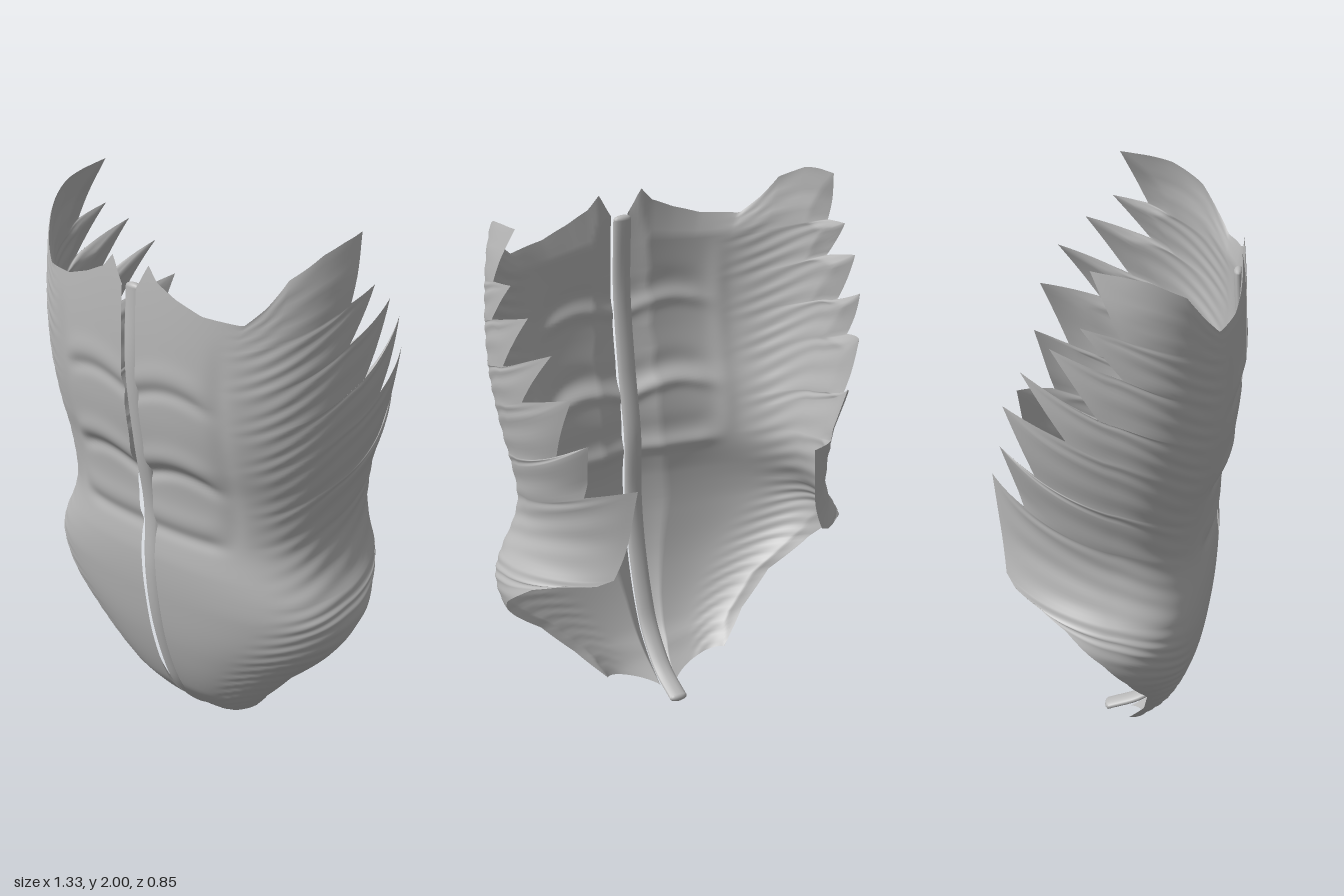
import * as THREE from 'three';

const N = 2.6;          // squareness of the front cross-section
const COLS = 64, STEPS = 8;

// front depth, half width and rear curve depth by height
const FRONT = [[0.03, 0.03], [0.07, 0.09], [0.11, 0.14], [0.2, 0.213], [0.39, 0.287], [0.6, 0.33], [0.76, 0.345], [0.88, 0.338],
  [0.97, 0.345], [1.1, 0.362], [1.2, 0.388], [1.35, 0.413], [1.55, 0.425], [1.8, 0.415], [2, 0.39]];
const WIDTH = [[0, 0.13], [0.12, 0.25], [0.24, 0.38], [0.36, 0.5], [0.5, 0.625], [0.62, 0.665], [0.7, 0.645],
  [0.8, 0.592], [0.9, 0.566], [1, 0.572], [1.2, 0.612], [1.4, 0.643], [1.6, 0.65], [1.85, 0.635], [2, 0.6]];
const BACK = [[0.8, 0.52], [1.15, 0.515], [1.33, 0.6], [1.5, 0.65], [2, 0.65]];
// height of the neckline along the top edge
const TOP = [[0, 1.79], [0.03, 1.88], [0.06, 1.83], [0.13, 1.79], [0.23, 1.755], [0.4, 1.745], [0.5, 1.81],
  [0.61, 1.9], [0.8, 1.965], [1, 2]];
// serrated rear edge, top to bottom: z, y, and the midline height its fibre starts from
const EDGE = [[-0.06, 2, 1.8], [0.04, 1.79, 1.65], [-0.09, 1.82, 1.57], [0.05, 1.65, 1.5], [-0.19, 1.74, 1.43],
  [-0.03, 1.505, 1.35], [-0.29, 1.64, 1.27], [-0.14, 1.42, 1.2], [-0.355, 1.5, 1.12], [-0.25, 1.25, 1.04],
  [-0.375, 1.33, 0.97], [-0.3, 1.1, 0.9], [-0.425, 1.15, 0.84], [-0.4, 0.97, 0.77], [-0.375, 0.8, 0.7],
  [-0.34, 0.77, 0.66], [-0.26, 0.75, 0.62], [-0.15, 0.7, 0.57], [-0.02, 0.595, 0.5], [0.06, 0.5, 0.42],
  [0.12, 0.36, 0.3], [0.1, 0.23, 0.17], [0.04, 0.12, 0.03]];

const { lerp, smoothstep, clamp } = THREE.MathUtils;

// smooth lookup in a small table
function look(table, v, smooth = true) {
  if (v <= table[0][0]) return table[0][1];
  for (let i = 1; i < table.length; i++) {
    const [a, p] = table[i - 1], [b, q] = table[i];
    if (v > b) continue;
    const k = (v - a) / (b - a);
    if (!smooth) return lerp(p, q, k);
    const p0 = table[Math.max(i - 2, 0)], q1 = table[Math.min(i + 1, table.length - 1)];
    const m0 = (q - p0[1]) / (b - p0[0]) * (b - a), m1 = (q1[1] - p) / (q1[0] - a) * (b - a);
    const k2 = k * k, k3 = k2 * k;
    return (2 * k3 - 3 * k2 + 1) * p + (k3 - 2 * k2 + k) * m0 + (3 * k2 - 2 * k3) * q + (k3 - k2) * m1;
  }
  return table[table.length - 1][1];
}

const gauss = (d, w) => Math.exp(-(d * d) / (w * w));

// abdominal creases and the groove beside the central muscles
function relief(x, y) {
  const inside = 1 - smoothstep(x, 0.26, 0.38);
  const arch = 0.05 * Math.sin(clamp(x / 0.36, 0, 1) * Math.PI);
  let d = 0;
  for (const [h, bow, depth] of [[1.4, 1, 0.009], [1.09, 1, 0.014], [0.89, 0, 0.009]])
    d += (0.6 * depth * gauss(y - h - bow * arch - 0.06, 0.045) - depth * gauss(y - h - bow * arch, 0.028)) * inside;
  const span = smoothstep(y, 0.85, 1) * (1 - smoothstep(y, 1.5, 1.7));
  return d - 0.006 * gauss(x - 0.37, 0.035) * span;
}

// point on the shell: u runs from midline to rear edge, thin moves it inward
function shellPoint(u, [ez, ey, y0], thin) {
  const back = look(BACK, ey, false);
  const end = ez > 0 ? Math.acos(Math.min(1, ez / look(FRONT, ey)) ** (N / 2)) : Math.PI / 2 + Math.asin(-ez / back);
  const neck = Math.max(0, 1 - (1.8 - y0) / 0.25) ** 2;
  const rise = u ** lerp(0.8, 2.6, smoothstep(y0, 0.03, 0.5));
  const y = lerp(y0, ey, rise) + (look(TOP, u, false) - 1.8 - 0.2 * rise) * neck;
  const ridge = 0.0018 * Math.sin(y0 * 115 + 3 * Math.sin(u * 6)) * smoothstep(u, 0.3, 0.55) * (1 - smoothstep(u, 0.85, 1));
  const inset = thin - ridge;
  const w = look(WIDTH, y) - inset, depth = look(FRONT, y) - inset;
  const start = Math.asin((0.033 / w) ** (N / 2));
  const t = lerp(start, end, u);
  const x = t < Math.PI / 2 ? w * Math.sin(t) ** (2 / N) : w * Math.sin(t);
  const z = t < Math.PI / 2
    ? depth * Math.max(0, Math.cos(t)) ** (2 / N) + relief(x, y) * smoothstep(Math.cos(t), 0, 0.5)
    : (back - inset) * Math.cos(t);
  return [x, y, z];
}

// half of the muscle wall, outer and inner skins joined at the edges
function wallGeometry(side) {
  const rows = [];
  for (let i = 0; i < EDGE.length - 1; i++)
    for (let s = 0; s < STEPS; s++) rows.push(EDGE[i].map((a, k) => lerp(a, EDGE[i + 1][k], s / STEPS)));
  rows.push(EDGE[EDGE.length - 1]);
  const pos = [], index = [];
  for (const layer of [0, 1]) {
    const base = pos.length / 3;
    rows.forEach((row, r) => {
      for (let c = 0; c <= COLS; c++) {
        const u = (c / COLS) ** 1.25;
        const rim = Math.min(1, 8 * (1 - u), 20 * u, r / 6, (rows.length - 1 - r) / 6);
        const [x, y, z] = shellPoint(u, row, layer * 0.022 * rim);
        pos.push(side * x, y, z);
        if (r === 0 || c === 0) continue;
        const d = base + r * (COLS + 1) + c, b = d - COLS - 1;
        const a = b - 1, e = d - 1;
        if ((side > 0) === (layer === 0)) index.push(a, e, b, b, e, d);
        else index.push(a, b, e, b, d, e);
      }
    });
  }
  const g = new THREE.BufferGeometry();
  g.setAttribute('position', new THREE.Float32BufferAttribute(pos, 3));
  g.setIndex(index);
  g.computeVertexNormals();
  return g;
}

export function createModel() {
  const model = new THREE.Group();
  model.name = 'abdominalWall';
  const grey = new THREE.MeshStandardMaterial({ color: 0xb8b8b8, side: THREE.DoubleSide });
  grey.name = 'plainGrey';
  const add = (geometry, name, parent = model) => {
    const mesh = new THREE.Mesh(geometry, grey);
    mesh.name = name;
    parent.add(mesh);
    return mesh;
  };

  add(wallGeometry(1), 'leftMuscleWall');
  add(wallGeometry(-1), 'rightMuscleWall');

  // central tendon: a flattened cord with a curled lower tail
  const tendon = new THREE.Group();
  tendon.name = 'centralTendon';
  const path = [[1.78, 0.392], [1.5, 0.403], [1.2, 0.367], [0.95, 0.323], [0.7, 0.322], [0.5, 0.295], [0.3, 0.238],
    [0.2, 0.195], [0.11, 0.122], [0.06, 0.058], [0.018, -0.055]].map(([y, z]) => new THREE.Vector3(0, y, z));
  const cord = new THREE.TubeGeometry(new THREE.CatmullRomCurve3(path), 80, 0.016, 14);
  add(cord.scale(2.2, 1, 1), 'tendonCord', tendon);
  for (const [p, name] of [[path[0], 'tendonTop'], [path[path.length - 1], 'tendonTail']]) {
    const cap = add(new THREE.SphereGeometry(0.016, 14, 10), name, tendon);
    cap.scale.x = 2.2;
    cap.position.copy(p);
  }
  model.add(tendon);
  return model;
}
